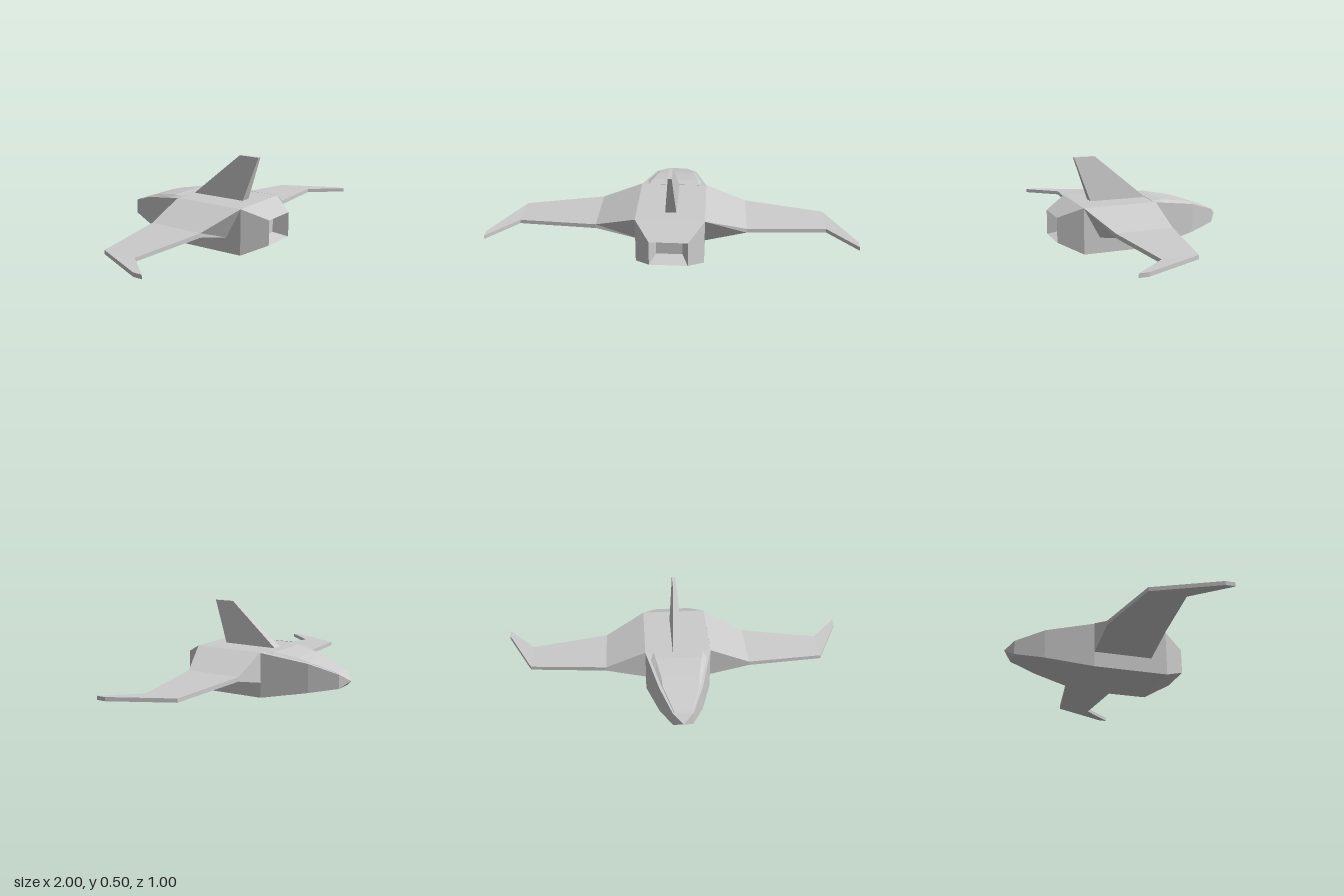
import * as THREE from 'three';

const material = new THREE.MeshStandardMaterial({ color: 0xcccccc, flatShading: true });

// Skins four-cornered cross-sections; corners run counter-clockwise seen from the last section.
function loft(name, sections, capStart = true, capEnd = true) {
  const pos = [];
  const quad = (a, b, c, d) => pos.push(...a, ...b, ...c, ...a, ...c, ...d);
  for (let i = 0; i < sections.length - 1; i++) {
    const s = sections[i], t = sections[i + 1];
    for (let j = 0; j < 4; j++) {
      const k = (j + 1) % 4;
      quad(s[j], s[k], t[k], t[j]);
    }
  }
  if (capStart) quad(...[...sections[0]].reverse());
  if (capEnd) quad(...sections[sections.length - 1]);
  const geometry = new THREE.BufferGeometry();
  geometry.setAttribute('position', new THREE.Float32BufferAttribute(pos, 3));
  geometry.computeVertexNormals();
  const mesh = new THREE.Mesh(geometry, material);
  mesh.name = name;
  return mesh;
}

// Cross-section across the body: z, half widths at bottom and top, bottom and top heights
const bodySection = (z, wb, wt, y0, y1) => [[-wb, y0, z], [wb, y0, z], [wt, y1, z], [-wt, y1, z]];

// Mirrors sections to the other side, keeping the faces outward
const mirror = (sections) => sections.map((s) => s.map(([x, y, z]) => [-x, y, z]).reverse());

export function createModel() {
  const craft = new THREE.Group();
  craft.name = 'spacecraft';

  // Hull, from the pointed nose to the open tail
  craft.add(loft('hull', [
    bodySection(-0.5, 0, 0, 0.115, 0.115),
    bodySection(-0.455, 0.055, 0.055, 0.077, 0.155),
    bodySection(-0.30, 0.12, 0.12, 0.048, 0.21),
    bodySection(-0.04, 0.185, 0.185, 0.002, 0.255),
    bodySection(0.375, 0.185, 0.185, 0.002, 0.257),
    bodySection(0.5, 0.102, 0.102, 0.06, 0.198),
  ], false, false));

  // Recessed engine outlet
  craft.add(loft('engineOutlet', [
    bodySection(0.5, 0.102, 0.102, 0.06, 0.198),
    bodySection(0.42, 0.07, 0.07, 0.08, 0.177),
  ], false, true));

  // Low canopy over the nose
  craft.add(loft('canopy', [
    bodySection(-0.455, 0.054, 0.045, 0.14, 0.155),
    bodySection(-0.44, 0.06, 0.05, 0.145, 0.163),
    bodySection(-0.30, 0.118, 0.1, 0.2, 0.213),
    bodySection(-0.23, 0.135, 0.105, 0.215, 0.233),
    bodySection(-0.10, 0.165, 0.13, 0.24, 0.257),
    bodySection(-0.04, 0.18, 0.14, 0.24, 0.256),
  ]));

  // Wings: thick root, thin panel and swept-back tip
  const wing = [
    [[0.185, 0.087, -0.04], [0.185, 0.257, -0.04], [0.185, 0.257, 0.375], [0.185, 0.087, 0.285]],
    ...[[0.41, 0.141, 0.165, -0.04, 0.28], [0.845, 0.121, 0.142, 0.025, 0.218], [1, 0.121, 0.142, 0.345, 0.395]]
      .map(([x, y0, y1, z0, z1]) => [[x, y0, z0], [x, y1, z0], [x, y1, z1], [x, y0, z1]]),
  ];
  craft.add(loft('leftWing', wing), loft('rightWing', mirror(wing)));

  // Tapered tail fin, raked backwards
  const finSection = (y, w, z0, z1) => [[-w, y, z0], [-w, y, z1], [w, y, z1], [w, y, z0]];
  craft.add(loft('tailFin', [finSection(0.255, 0.03, -0.04, 0.285), finSection(0.502, 0.01, 0.25, 0.37)]));

  return craft;
}
